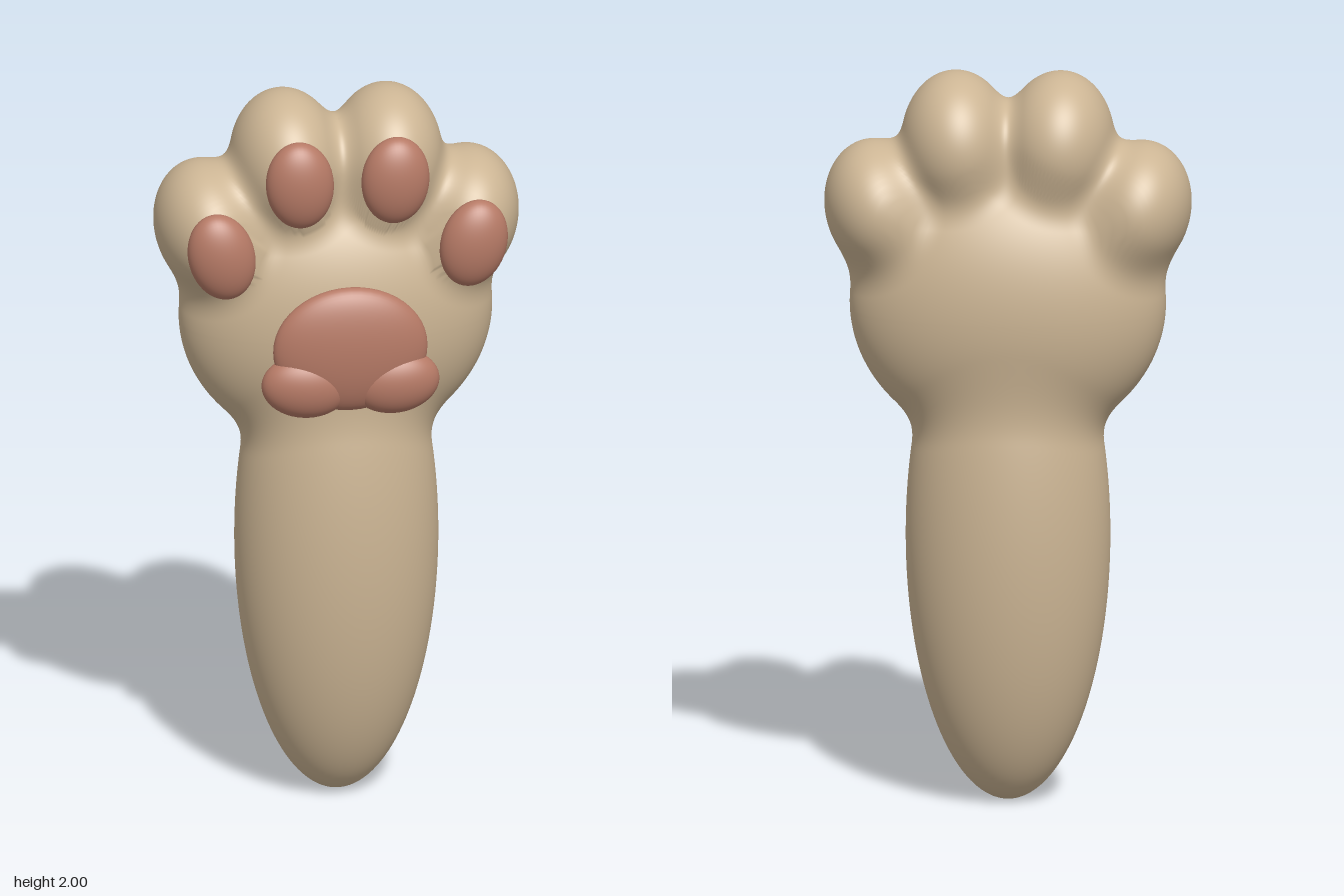
import * as THREE from 'three';

const fur = new THREE.MeshStandardMaterial({ name: 'tan fur', color: 0xccb594 });
const skin = new THREE.MeshStandardMaterial({ name: 'pink pad', color: 0xb67a66 });

// Ellipsoids that melt together into the paw: centre, radii, tilt about z
const blobs = [
  { c: [0, 0.73, -0.025], r: [0.275, 0.73, 0.24], tilt: 0 },      // arm
  { c: [0, 1.37, -0.04], r: [0.425, 0.39, 0.235], tilt: 0 },      // palm
];
for (const s of [-1, 1]) {
  blobs.push({ c: [s * 0.135, 1.8, -0.03], r: [0.152, 0.2, 0.205], tilt: -s * 0.07 }); // inner toe
  blobs.push({ c: [s * 0.343, 1.625, -0.03], r: [0.148, 0.187, 0.205], tilt: -s * 0.25 }); // outer toe
}

function ellipsoidDistance({ c, r, tilt }, x, y, z) {
  const dx = x - c[0], dy = y - c[1], cs = Math.cos(tilt), sn = Math.sin(tilt);
  const px = (dx * cs + dy * sn) / r[0], py = (dy * cs - dx * sn) / r[1], pz = (z - c[2]) / r[2];
  const k0 = Math.hypot(px, py, pz), k1 = Math.hypot(px / r[0], py / r[1], pz / r[2]);
  return k1 < 1e-6 ? -Math.min(...r) : k0 * (k0 - 1) / k1;
}

// Smooth union of all blobs
function field(x, y, z) {
  const k = 0.07;
  let d = 10;
  for (const b of blobs) {
    const e = ellipsoidDistance(b, x, y, z);
    const h = Math.max(k - Math.abs(d - e), 0) / k;
    d = Math.min(d, e) - h * h * k / 4;
  }
  return d;
}

// Walk inward along a ray until the surface is met, then refine
function surfaceRadius(oy, dir) {
  const at = (t) => field(dir[0] * t, oy + dir[1] * t, dir[2] * t);
  let t = 1.2, last = t;
  for (let i = 0; i < 400 && t > 0; i++) {
    const d = at(t);
    if (d < 0) break;
    last = t;
    t -= Math.max(0.003, d * 0.5);
  }
  let lo = Math.max(t, 0), hi = last;
  for (let i = 0; i < 14; i++) {
    const mid = (lo + hi) / 2;
    if (at(mid) < 0) lo = mid; else hi = mid;
  }
  return lo;
}

// Closed skin: rings climb the arm axis, then fan out over the toes
function pawGeometry() {
  const lower = 90, upper = 110, cols = 192, rows = lower + upper;
  const pos = [], idx = [];
  for (let i = 0; i <= rows; i++) {
    const s = Math.min(i / lower, 1);
    const oy = 0.3 + 1.05 * s;
    const phi = i <= lower ? -Math.PI / 2 * (1 - s) ** 2 : Math.PI / 2 * (i - lower) / upper;
    for (let j = 0; j < cols; j++) {
      const a = j / cols * Math.PI * 2;
      const dir = [Math.cos(phi) * Math.cos(a), Math.sin(phi), Math.cos(phi) * Math.sin(a)];
      const t = surfaceRadius(oy, dir);
      pos.push(dir[0] * t, oy + dir[1] * t, dir[2] * t);
      if (i < rows) {
        const p = i * cols + j, q = i * cols + (j + 1) % cols;
        idx.push(p, p + cols, q, p + cols, q + cols, q);
      }
    }
  }
  const g = new THREE.BufferGeometry();
  g.setAttribute('position', new THREE.Float32BufferAttribute(pos, 3));
  g.setIndex(idx);
  g.computeVertexNormals();
  return g;
}

// Cushion: an ellipsoid with its back cut flat at the plane z = back
function pad(name, [x, y, z], [rx, ry, rz], tilt, back) {
  const g = new THREE.SphereGeometry(1, 48, 32);
  g.rotateX(Math.PI / 2);
  g.scale(rx, ry, rz);
  const p = g.attributes.position;
  for (let i = 0; i < p.count; i++) p.setZ(i, Math.max(p.getZ(i), back - z));
  const m = new THREE.Mesh(g, skin);
  m.name = name;
  m.position.set(x, y, z);
  m.rotation.z = tilt;
  return m;
}

export function createModel() {
  const group = new THREE.Group();
  group.name = 'paw';

  const body = new THREE.Mesh(pawGeometry(), fur);
  body.name = 'armAndPaw';
  group.add(body);

  group.add(pad('palmPad', [0, 1.345, 0.215], [0.21, 0.175, 0.06], 0, 0.195));
  for (const [s, side] of [[1, 'left'], [-1, 'right']]) {
    group.add(
      pad(side + 'PalmLobe', [s * 0.122, 1.245, 0.217], [0.12, 0.088, 0.06], s * 0.1, 0.16),
      pad(side + 'InnerToePad', [s * 0.13, 1.805, 0.17], [0.092, 0.122, 0.058], -s * 0.07, 0.145),
      pad(side + 'OuterToePad', [s * 0.343, 1.612, 0.17], [0.09, 0.123, 0.058], -s * 0.25, 0.145),
    );
  }
  return group;
}
